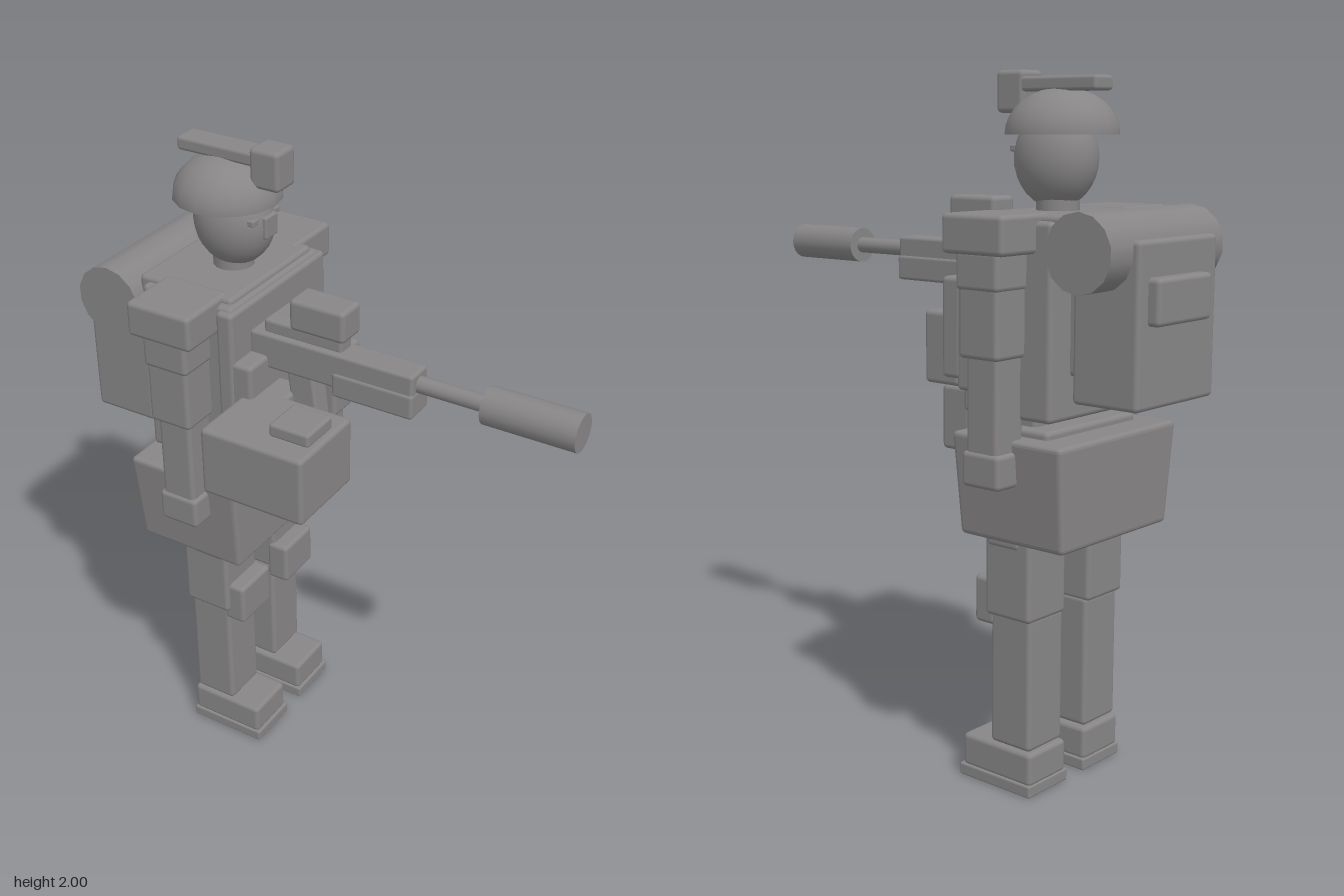
import * as THREE from 'three';
import { RoundedBoxGeometry } from 'three/addons/geometries/RoundedBoxGeometry.js';

const grey = new THREE.MeshStandardMaterial({ color: 0x878585, side: THREE.DoubleSide });
grey.name = 'matte grey';
const MID = -0.035; // z of the figure's middle plane

export function createModel() {
  const model = new THREE.Group();
  model.name = 'soldier';

  const add = (name, geometry, x, y, z, parent = model) => {
    const mesh = new THREE.Mesh(geometry, grey);
    mesh.name = name;
    mesh.position.set(x, y, z);
    parent.add(mesh);
    return mesh;
  };
  // Softened box given by its [min, max] extents
  const box = (name, [x0, x1], [y0, y1], [z0, z1], r = 0.014, parent = model) => {
    const s = [x1 - x0, y1 - y0, z1 - z0];
    const g = new RoundedBoxGeometry(...s, 2, Math.min(r, 0.4 * Math.min(...s)));
    return add(name, g, (x0 + x1) / 2, (y0 + y1) / 2, (z0 + z1) / 2, parent);
  };
  // The same box on both sides of the middle plane
  const pair = (name, xs, ys, [a, b], r) => {
    box(name + 'Left', xs, ys, [MID + a, MID + b], r);
    box(name + 'Right', xs, ys, [MID - b, MID - a], r);
  };

  // Head and helmet
  add('head', new THREE.SphereGeometry(1, 24, 16), -0.352, 1.765, MID).scale.set(0.122, 0.135, 0.106);
  add('helmet', new THREE.SphereGeometry(1, 16, 8, 0, Math.PI * 2, 0, Math.PI / 2), -0.372, 1.828, MID)
    .scale.set(0.158, 0.125, 0.156);
  box('nose', [-0.26, -0.225], [1.735, 1.8], [-0.065, -0.005], 0.006);
  pair('eye', [-0.275, -0.243], [1.782, 1.8], [0.035, 0.068], 0.004);
  box('helmetRail', [-0.515, -0.2], [1.942, 1.982], [-0.08, 0], 0.01);
  box('nightVision', [-0.27, -0.175], [1.885, 2], [-0.083, 0.008]);
  add('neck', new THREE.CylinderGeometry(0.06, 0.06, 0.06, 16), -0.36, 1.635, MID);

  // Torso and vest
  box('torso', [-0.52, -0.215], [1.08, 1.61], [-0.265, 0.195], 0.015);
  box('collarPlate', [-0.545, -0.23], [1.53, 1.625], [-0.245, 0.17]);
  box('vestFront', [-0.26, -0.205], [1.14, 1.6], [-0.28, 0.21]);
  box('vestPanel', [-0.22, -0.15], [1.17, 1.45], [-0.28, 0.205]);
  box('chestPouch', [-0.22, -0.148], [1.42, 1.515], [-0.11, 0.04]);
  pair('vestPouch', [-0.2, -0.072], [1.145, 1.35], [0.082, 0.23]);
  box('bellyPouch', [-0.21, -0.105], [0.955, 1.14], [-0.23, 0.16]);
  box('buckle', [-0.22, -0.155], [0.928, 0.965], [-0.095, 0.03], 0.01);
  box('waist', [-0.42, -0.31], [1, 1.1], [-0.2, 0.13]);
  box('belt', [-0.49, -0.24], [1.01, 1.052], [-0.235, 0.165]);

  // Hips, narrowing towards the bottom
  const hips = box('hips', [-0.583, -0.205], [0.735, 1.03], [-0.3, 0.235]);
  const p = hips.geometry.attributes.position;
  for (let i = 0; i < p.count; i++) {
    const t = 0.5 - p.getY(i) / 0.295;
    p.setX(i, p.getX(i) * (1 - 0.05 * t));
    p.setZ(i, p.getZ(i) * (1 - 0.1 * t));
  }
  hips.geometry.computeVertexNormals();

  // Arms
  pair('shoulderPad', [-0.47, -0.26], [1.525, 1.63], [0.17, 0.367]);
  pair('sleeve', [-0.438, -0.292], [1.43, 1.535], [0.2, 0.348]);
  pair('upperArm', [-0.433, -0.297], [1.25, 1.5], [0.205, 0.342]);
  pair('forearm', [-0.42, -0.31], [0.97, 1.27], [0.215, 0.325]);
  pair('hand', [-0.43, -0.3], [0.902, 1], [0.208, 0.332]);

  // Legs
  pair('thigh', [-0.445, -0.285], [0.51, 0.75], [0.052, 0.217]);
  pair('hipStrap', [-0.41, -0.295], [0.712, 0.76], [0.055, 0.222]);
  pair('kneePad', [-0.31, -0.235], [0.475, 0.612], [0.047, 0.203]);
  pair('shin', [-0.437, -0.294], [0.13, 0.52], [0.052, 0.202]);
  pair('boot', [-0.445, -0.195], [0.03, 0.128], [0.043, 0.207]);
  pair('sole', [-0.447, -0.187], [0, 0.036], [0.038, 0.212], 0.006);

  // Backpack with bedroll
  box('backpack', [-0.75, -0.54], [1.13, 1.57], [-0.2, 0.158]);
  box('backpackPocket', [-0.785, -0.73], [1.35, 1.475], [-0.16, 0.085]);
  box('backpackHarness', [-0.56, -0.5], [1.2, 1.55], [-0.18, 0.11]);
  add('bedroll', new THREE.CylinderGeometry(0.105, 0.105, 0.51, 14), -0.627, 1.537, -0.04).rotation.x = Math.PI / 2;

  // Rifle
  const rifle = new THREE.Group();
  rifle.name = 'rifle';
  model.add(rifle);
  box('receiver', [-0.21, 0.31], [1.41, 1.517], [0.03, 0.117], 0.01, rifle);
  box('handguard', [0.06, 0.312], [1.385, 1.46], [0.025, 0.122], 0.01, rifle);
  box('sightRail', [-0.172, 0.08], [1.51, 1.555], [0.04, 0.1], 0.01, rifle);
  box('scope', [-0.075, 0.1], [1.555, 1.65], [0.027, 0.123], 0.014, rifle);
  box('magazine', [-0.085, 0], [1.25, 1.42], [0.04, 0.108], 0.01, rifle).rotation.z = 0.12;
  const tube = (name, r, x0, x1) => {
    add(name, new THREE.CylinderGeometry(r, r, x1 - x0, 20), (x0 + x1) / 2, 1.477, 0.074, rifle)
      .rotation.z = Math.PI / 2;
  };
  tube('barrel', 0.024, 0.29, 0.53);
  tube('silencer', 0.054, 0.513, 0.783);

  // Side case
  box('sideCase', [-0.19, 0.138], [1.14, 1.35], [0.137, 0.402]);
  box('caseLid', [-0.01, 0.117], [1.345, 1.387], [0.205, 0.332], 0.01);

  return model;
}
